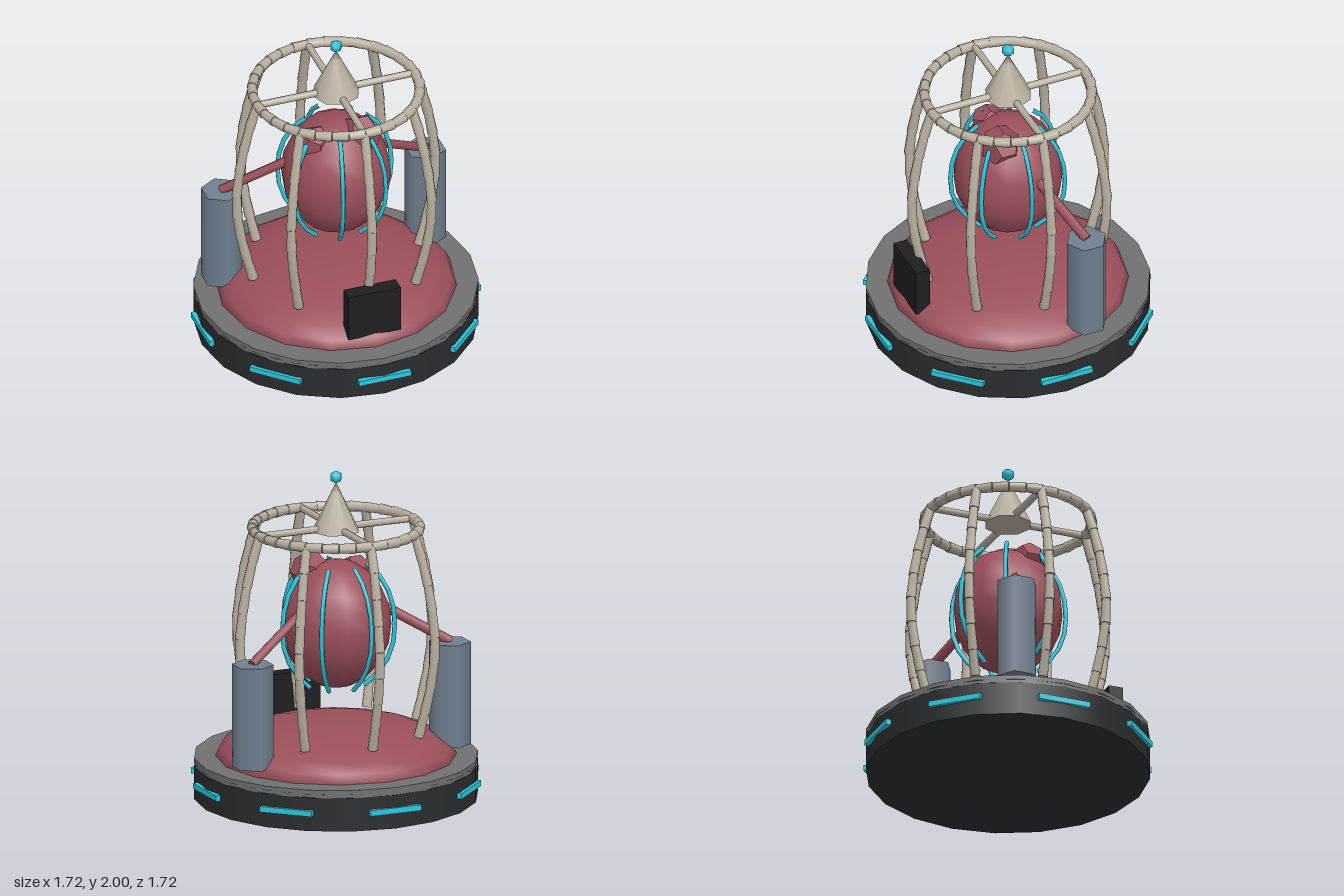
import * as THREE from 'three';

const paint = (color) => new THREE.MeshStandardMaterial({ color });
const RED = paint(0x9b4f5a), TAN = paint(0xb8b0a0), CYAN = paint(0x2cc8dc), SLATE = paint(0x708090);
const DARK = paint(0x2a2c2e), GREY = paint(0x707070), BLACK = paint(0x1e1e20);
const V = (x, y, z) => new THREE.Vector3(x, y, z);
// point at radius r, height y, angle a around the vertical axis
const polar = (r, y, a) => V(r * Math.cos(a), y, r * Math.sin(a));

export function createModel() {
  const model = new THREE.Group();

  function add(name, geometry, material, x = 0, y = 0, z = 0, parent = model) {
    const mesh = new THREE.Mesh(geometry, material);
    mesh.name = name;
    mesh.position.set(x, y, z);
    parent.add(mesh);
    return mesh;
  }

  // straight round rod from a to b
  function rod(name, a, b, ra, rb, sides, material, parent = model) {
    const g = new THREE.CylinderGeometry(rb, ra, a.distanceTo(b), sides);
    const mid = a.clone().lerp(b, 0.5);
    const mesh = add(name, g, material, mid.x, mid.y, mid.z, parent);
    mesh.quaternion.setFromUnitVectors(V(0, 1, 0), b.clone().sub(a).normalize());
    return mesh;
  }

  // chain of slightly tapered rods along a curve
  function chain(name, curve, count, ra, rb, sides, material) {
    const group = new THREE.Group();
    group.name = name;
    const pts = curve.getSpacedPoints(count);
    for (let i = 0; i < count; i++) rod(name + 'Piece', pts[i], pts[i + 1], ra, rb, sides, material, group);
    model.add(group);
  }

  // plinth, rim and lights around it
  add('base', new THREE.CylinderGeometry(0.85, 0.85, 0.205, 20), DARK, 0, 0.1025, 0);
  add('lowerRim', new THREE.CylinderGeometry(0.845, 0.845, 0.022, 24), GREY, 0, 0.215, 0);
  add('upperRim', new THREE.CylinderGeometry(0.85, 0.85, 0.027, 20), GREY, 0, 0.2385, 0);
  for (let i = 0; i < 8; i++) {
    const a = i * Math.PI / 4;
    const light = add('baseLight', new THREE.BoxGeometry(0.33, 0.035, 0.03), CYAN,
      0.845 * Math.sin(a), 0.112, 0.845 * Math.cos(a));
    light.rotation.y = a;
  }

  // shallow dome
  const dome = new THREE.SphereGeometry(0.72, 16, 6, 0, Math.PI * 2, 0, Math.PI / 2).scale(1, 0.22 / 0.72, 1);
  add('dome', dome, RED, 0, 0.25, 0);

  // egg-shaped core with two lumps near its top
  add('core', new THREE.SphereGeometry(0.33, 14, 10).scale(1, 0.39 / 0.33, 1), RED, 0, 1.06, 0);
  add('coreLump', new THREE.DodecahedronGeometry(0.125), RED, 0.12, 1.365, 0.1);
  add('coreLump', new THREE.DodecahedronGeometry(0.105), RED, -0.155, 1.345, 0.06);

  // glowing ribs wrapped round the core
  const ribProfile = [[0.18, 1.43], [0.27, 1.34], [0.33, 1.21], [0.35, 1.06], [0.33, 0.9], [0.26, 0.77], [0.17, 0.68]];
  for (let i = 0; i < 7; i++) {
    const a = i * Math.PI * 2 / 7;
    const curve = new THREE.CatmullRomCurve3(ribProfile.map(([r, y]) => polar(r, y, a)));
    add('coreRib', new THREE.TubeGeometry(curve, 8, 0.014, 6), CYAN);
  }

  // hexagonal pillars and the arms joining them to the core
  for (const s of [1, -1]) {
    add('pillar', new THREE.CylinderGeometry(0.125, 0.125, 0.63, 6), SLATE, s * 0.645, 0.615, -0.22);
    rod('arm', V(s * 0.25, 1.17, -0.06), V(s * 0.65, 0.93, -0.22), 0.03, 0.03, 6, RED);
  }

  // control box at the front
  add('controlBox', new THREE.BoxGeometry(0.33, 0.305, 0.09), BLACK, 0, 0.462, 0.63);

  // bowed cage bars
  const barProfile = [[0.525, 0.41], [0.575, 0.6], [0.615, 0.8], [0.63, 1.0], [0.61, 1.2], [0.565, 1.43], [0.5, 1.65]];
  for (let i = 0; i < 8; i++) {
    const a = i * Math.PI / 4;
    chain('cageBar', new THREE.CatmullRomCurve3(barProfile.map(([r, y]) => polar(r, y, a))), 8, 0.032, 0.028, 8, TAN);
  }

  // top ring and spokes
  const circle = [];
  for (let i = 0; i < 32; i++) circle.push(polar(0.5, 1.65, i * Math.PI / 16));
  chain('cageRing', new THREE.CatmullRomCurve3(circle, true), 32, 0.033, 0.028, 8, TAN);
  for (let i = 0; i < 4; i++) {
    rod('spoke', V(0, 1.65, 0), polar(0.5, 1.65, i * Math.PI / 2), 0.022, 0.022, 8, TAN);
  }

  // pointed cap and finial
  add('cap', new THREE.ConeGeometry(0.145, 0.3, 8), TAN, 0, 1.78, 0);
  add('finial', new THREE.SphereGeometry(0.04, 6, 3), CYAN, 0, 1.96, 0);

  return model;
}
